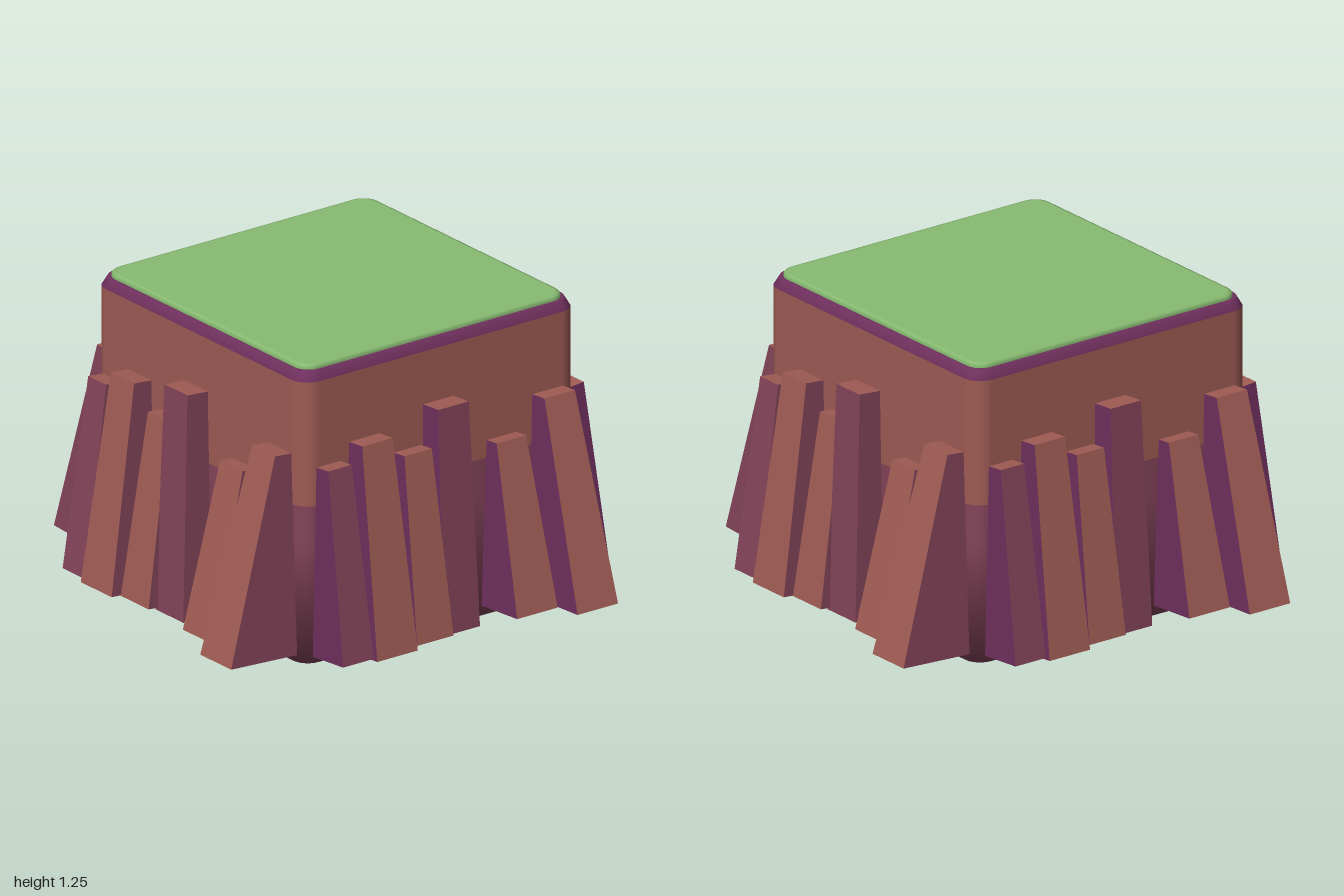
import * as THREE from 'three';

const mat = (name, color) => {
  const m = new THREE.MeshStandardMaterial({ color });
  m.name = name;
  return m;
};

// Skin over rounded-square rings, listed along the profile from bottom to top.
// Each ring is [half width, corner radius, y, vertical part of the normal].
function loft(rings, steps = 6) {
  const pos = [], nor = [], index = [];
  const n = 4 * (steps + 1);
  for (const [half, r, y, ny] of rings) {
    const nh = Math.sqrt(1 - ny * ny);
    for (let corner = 0; corner < 4; corner++) {
      const mid = (corner + 0.5) * Math.PI / 2;
      const cx = Math.sign(Math.cos(mid)) * (half - r);
      const cz = Math.sign(Math.sin(mid)) * (half - r);
      for (let s = 0; s <= steps; s++) {
        const a = (corner + s / steps) * Math.PI / 2;
        pos.push(cx + r * Math.cos(a), y, cz + r * Math.sin(a));
        nor.push(nh * Math.cos(a), ny, nh * Math.sin(a));
      }
    }
  }
  for (let k = 0; k < rings.length - 1; k++) {
    for (let i = 0; i < n; i++) {
      const a = k * n + i, b = k * n + (i + 1) % n;
      index.push(a, a + n, b + n, a, b + n, b);
    }
  }
  const g = new THREE.BufferGeometry();
  g.setAttribute('position', new THREE.Float32BufferAttribute(pos, 3));
  g.setAttribute('normal', new THREE.Float32BufferAttribute(nor, 3));
  g.setIndex(index);
  return g;
}

// Leaning, tapered slab: wide and far out at the foot, narrow at the head
function plankGeometry({ foot, head, y, out }) {
  const g = new THREE.BoxGeometry(1, 1, 1);
  const p = g.attributes.position;
  for (let i = 0; i < p.count; i++) {
    const top = p.getY(i) > 0, outer = p.getZ(i) > 0;
    const xs = top ? head : foot;
    const x = xs[p.getX(i) > 0 ? 1 : 0];
    const z = outer ? out[top ? 1 : 0] : 0.63;
    const drop = outer ? 0 : top ? 0.012 : 0.02;
    p.setXYZ(i, x, y[top ? 1 : 0] - drop, z);
  }
  g.computeVertexNormals();
  return g;
}

export function createModel() {
  const brown = mat('red brown', 0xa05c54);
  const mauve = mat('mauve', 0x84445a);
  const purple = mat('purple', 0x70305e);
  const green = mat('grass green', 0x88bc72);

  const model = new THREE.Group();
  model.name = 'grassTopBlock';
  const add = (parent, name, geometry, material) => {
    const m = new THREE.Mesh(geometry, material);
    m.name = name;
    parent.add(m);
  };

  // Block, from underside to grass
  add(model, 'underside', loft([[0, 0, 0, -1], [0.665, 0.07, 0, -1]]), purple);
  add(model, 'lowerBody', loft([
    [0.665, 0.07, 0, -0.9], [0.68, 0.08, 0.02, -0.7],
    [0.68, 0.08, 0.5, 0], [0.68, 0.08, 0.67, 0],
  ]), mauve);
  add(model, 'upperBody', loft([[0.68, 0.08, 0.67, 0], [0.68, 0.08, 1.195, 0]]), brown);
  add(model, 'rim', loft([
    [0.68, 0.08, 1.195, 0.3], [0.66, 0.07, 1.235, 0.7],
    [0.66, 0.07, 1.235, 1], [0.6, 0.05, 1.235, 1],
  ]), purple);
  add(model, 'grass', loft([
    [0.65, 0.07, 1.235, 0], [0.65, 0.07, 1.244, 0.2],
    [0.644, 0.065, 1.252, 0.7], [0.63, 0.055, 1.255, 1], [0, 0, 1.255, 1],
  ]), green);

  // Six planks per side; foot and head are x ranges, out is [foot, head] depth
  const planks = [
    { foot: [-0.63, -0.48], head: [-0.615, -0.5], y: [0.05, 0.84], out: [0.87, 0.755], face: mauve },
    { foot: [-0.48, -0.28], head: [-0.455, -0.305], y: [0.045, 0.91], out: [0.895, 0.765], face: brown },
    { foot: [-0.26, -0.08], head: [-0.235, -0.1], y: [0.05, 0.81], out: [0.865, 0.75], face: brown },
    { foot: [-0.095, 0.085], head: [-0.09, 0.06], y: [0.035, 0.98], out: [0.82, 0.78], face: mauve },
    { foot: [0.2, 0.4], head: [0.225, 0.37], y: [0.065, 0.75], out: [0.91, 0.745], face: brown },
    { foot: [0.43, 0.63], head: [0.45, 0.6], y: [0.055, 0.89], out: [1, 0.76], face: brown },
  ];
  ['front', 'left', 'back', 'right'].forEach((side, k) => {
    const group = new THREE.Group();
    group.name = side + 'Planks';
    group.rotation.y = k * Math.PI / 2;
    for (const spec of planks) {
      add(group, 'plank', plankGeometry(spec), [mauve, purple, brown, brown, spec.face, brown]);
    }
    model.add(group);
  });
  return model;
}
